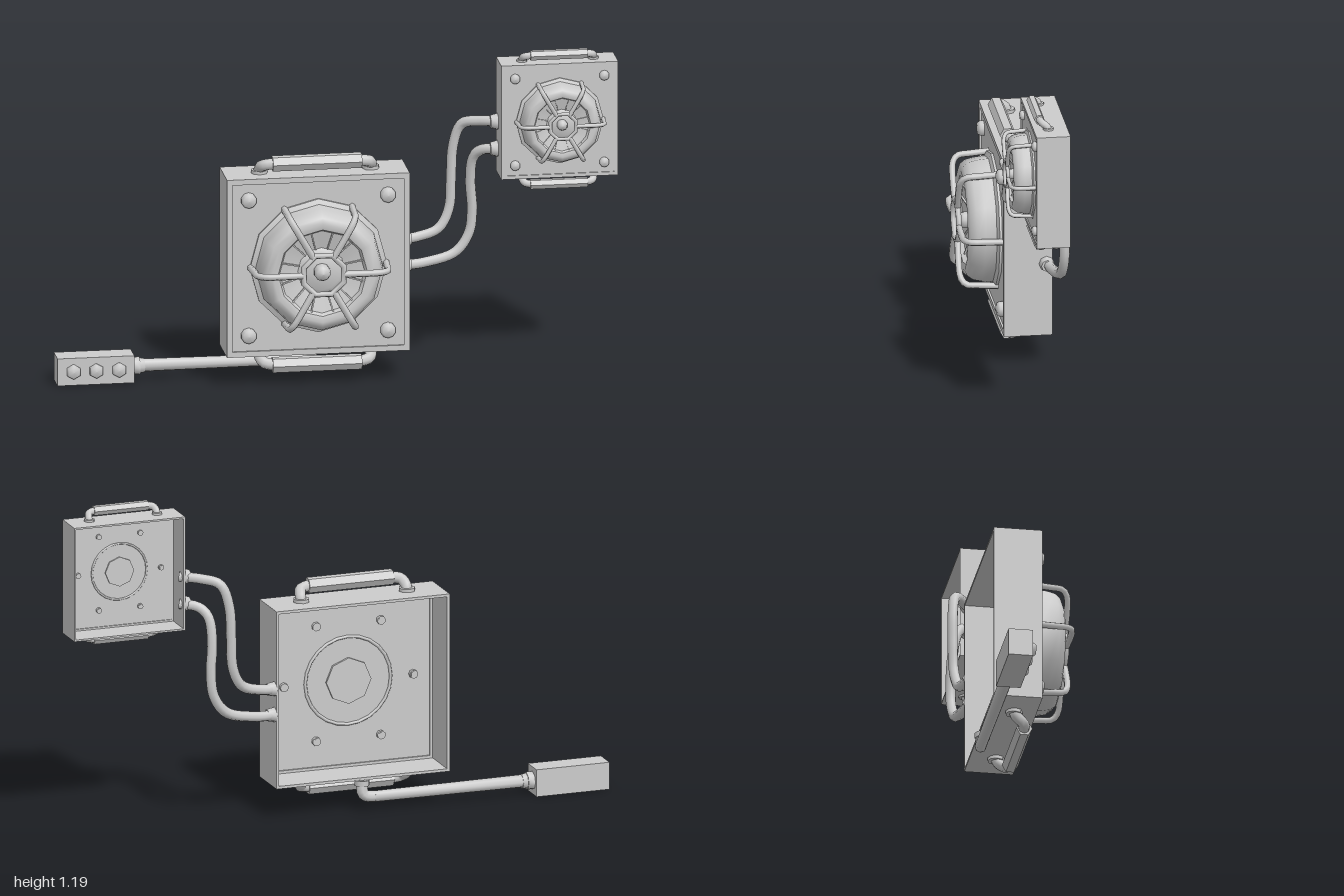
import * as THREE from 'three';
import { toCreasedNormals } from 'three/addons/utils/BufferGeometryUtils.js';

const mat = new THREE.MeshStandardMaterial({ color: 0xcccccc });
const matBoth = new THREE.MeshStandardMaterial({ color: 0xcccccc, side: THREE.DoubleSide });
const V = (x, y, z) => new THREE.Vector3(x, y, z);

function add(parent, name, geometry, x = 0, y = 0, z = 0, material = mat) {
  const mesh = new THREE.Mesh(geometry, material);
  mesh.name = name;
  mesh.position.set(x, y, z);
  parent.add(mesh);
  return mesh;
}

// cylinder whose axis runs along 'x', 'y' or 'z'
function rod(r0, r1, length, sides, axis) {
  const g = new THREE.CylinderGeometry(r0, r1, length, sides);
  if (axis === 'x') g.rotateZ(-Math.PI / 2);
  if (axis === 'z') g.rotateX(Math.PI / 2);
  return toCreasedNormals(g, 0.9);
}

function tube(points, radius, segments = 16, sides = 8, tension = 0.5) {
  const curve = new THREE.CatmullRomCurve3(points, false, 'catmullrom', tension);
  return new THREE.TubeGeometry(curve, segments, radius, sides);
}

// square frame between two z planes
function frame(outer, inner, z0, z1) {
  const square = (path, h) => path.moveTo(-h, -h).lineTo(h, -h).lineTo(h, h).lineTo(-h, h).closePath();
  const shape = square(new THREE.Shape(), outer);
  shape.holes.push(square(new THREE.Path(), inner));
  return new THREE.ExtrudeGeometry(shape, { depth: z1 - z0, bevelEnabled: false }).translate(0, 0, z0);
}

// low dome of rounded shape on a flat base, facing +z
function bolt(radius, height, sides) {
  const pts = [[radius, 0], [radius, height * 0.5], [radius * 0.75, height * 0.88], [0, height]];
  const g = new THREE.LatheGeometry(pts.map(p => new THREE.Vector2(...p)), sides);
  return g.rotateX(Math.PI / 2);
}

function speaker(name, back) {
  const group = new THREE.Group();
  group.name = name;

  // open-backed case with a front lip and a recessed panel
  add(group, 'case', frame(0.328, 0.318, back, 0.04));
  add(group, 'frontLip', frame(0.319, 0.308, 0.012, 0.04));
  add(group, 'frontPanel', new THREE.BoxGeometry(0.618, 0.618, 0.014), 0, 0, 0.026);

  // drum with rounded shoulder and recessed cone
  const profile = [[0.246, 0.03], [0.246, 0.042], [0.228, 0.05], [0.224, 0.09], [0.217, 0.12],
    [0.202, 0.14], [0.182, 0.148], [0.16, 0.142], [0.152, 0.125], [0.085, 0.108], [0.07, 0.118], [0, 0.118]];
  const drum = new THREE.LatheGeometry(profile.map(p => new THREE.Vector2(...p)), 12);
  drum.rotateX(Math.PI / 2);
  add(group, 'drum', toCreasedNormals(drum, 0.75), 0, 0, 0, matBoth);
  add(group, 'hub', bolt(0.03, 0.045, 10), 0, 0, 0.117);

  // thin ribs across the cone
  for (let i = 0; i < 12; i++) {
    const rib = new THREE.BoxGeometry(0.075, 0.005, 0.012);
    rib.rotateY(-0.25).translate(0.12, 0, 0.119).rotateZ((i + 0.5) * Math.PI / 6);
    add(group, 'coneRib', rib);
  }

  // guard: centre ring and six bent bars
  const ring = new THREE.TorusGeometry(0.077, 0.011, 6, 8);
  add(group, 'guardRing', ring.rotateZ(Math.PI / 8), 0, 0, 0.166);
  for (let i = 0; i < 6; i++) {
    const a = i * Math.PI / 3;
    const path = [V(0.075, 0, 0.166), V(0.15, 0, 0.168), V(0.205, 0, 0.165),
      V(0.233, 0, 0.145), V(0.238, 0, 0.1), V(0.245, 0, 0.005)];
    add(group, 'guardBar', tube(path, 0.0125, 18, 6).rotateZ(a));
    const end = add(group, 'guardBarEnd', rod(0.016, 0.016, 0.016, 8, 'z'),
      0.245 * Math.cos(a), 0.245 * Math.sin(a), 0.014);
    end.rotation.z = a;
  }

  // raised shapes on the inside of the panel
  add(group, 'rearRing', new THREE.TorusGeometry(0.162, 0.006, 6, 24), 0, 0, 0.019);
  add(group, 'rearOctagon', rod(0.085, 0.085, 0.012, 8, 'z'), 0, 0, 0.016);

  for (const sx of [-1, 1]) {
    for (const sy of [-1, 1]) {
      add(group, 'cornerBolt', bolt(0.028, 0.026, 10), sx * 0.25, sy * 0.25, 0.033);
    }
  }

  // handles above and below
  for (const s of [-1, 1]) {
    const handle = new THREE.Group();
    handle.name = s > 0 ? 'topHandle' : 'bottomHandle';
    add(handle, 'grip', rod(0.029, 0.029, 0.32, 6, 'x'), 0, s * 0.372, 0.002);
    for (const sx of [-1, 1]) {
      const path = [V(sx * 0.2, s * 0.322, -0.042), V(sx * 0.2, s * 0.346, -0.034),
        V(sx * 0.188, s * 0.365, -0.008), V(sx * 0.15, s * 0.372, 0.002)];
      add(handle, 'gripArm', tube(path, 0.021, 8, 8));
      add(handle, 'gripFoot', rod(0.03, 0.03, 0.014, 8, 'y'), sx * 0.2, s * 0.333, -0.042);
    }
    group.add(handle);
  }
  return group;
}

export function createModel() {
  const model = new THREE.Group();
  model.name = 'linkedSpeakers';

  const large = speaker('largeSpeaker', -0.135);
  large.position.set(-0.083, 0.447, 0);
  model.add(large);

  const small = speaker('smallSpeaker', -0.15);
  small.scale.setScalar(0.64);
  small.position.set(0.786, 0.94, 0);
  model.add(small);

  // cables joining the two speakers
  const cables = [
    [V(0.24, 0.485, -0.115), V(0.3, 0.49, -0.125), V(0.375, 0.515, -0.135), V(0.415, 0.59, -0.145),
      V(0.422, 0.7, -0.148), V(0.428, 0.81, -0.147), V(0.455, 0.895, -0.135), V(0.515, 0.915, -0.1), V(0.585, 0.92, -0.06)],
    [V(0.24, 0.39, -0.115), V(0.32, 0.393, -0.125), V(0.43, 0.42, -0.138), V(0.485, 0.49, -0.143),
      V(0.497, 0.58, -0.143), V(0.49, 0.68, -0.138), V(0.495, 0.77, -0.122), V(0.525, 0.81, -0.095), V(0.585, 0.82, -0.06)],
  ];
  for (const path of cables) {
    add(model, 'cable', tube(path, 0.019, 40, 8));
    const a = path[0], b = path[path.length - 1];
    add(model, 'cableSocket', rod(0.022, 0.028, 0.03, 8, 'x'), a.x + 0.018, a.y, a.z + 0.002);
    add(model, 'cableSocket', rod(0.032, 0.024, 0.03, 8, 'x'), b.x - 0.02, b.y, b.z - 0.006);
  }

  // control box on a stiff arm below the large speaker
  const control = new THREE.Group();
  control.name = 'control';
  add(control, 'controlBox', new THREE.BoxGeometry(0.276, 0.1, 0.088), -0.862, 0.054, -0.134);
  for (const x of [-0.943, -0.861, -0.779]) {
    add(control, 'button', bolt(0.027, 0.022, 6), x, 0.055, -0.091);
  }
  add(control, 'collar', rod(0.033, 0.033, 0.025, 8, 'x'), -0.712, 0.054, -0.134);
  add(control, 'collar', rod(0.026, 0.03, 0.02, 8, 'x'), -0.692, 0.054, -0.134);
  add(control, 'arm', rod(0.021, 0.024, 0.57, 8, 'x'), -0.41, 0.055, -0.134);
  const elbow = [V(-0.14, 0.055, -0.134), V(-0.1, 0.058, -0.132), V(-0.083, 0.075, -0.128), V(-0.083, 0.12, -0.122)];
  add(control, 'elbow', tube(elbow, 0.021, 10, 8));
  add(control, 'elbowFoot', rod(0.028, 0.028, 0.02, 8, 'y'), -0.083, 0.108, -0.123);
  model.add(control);

  return model;
}
